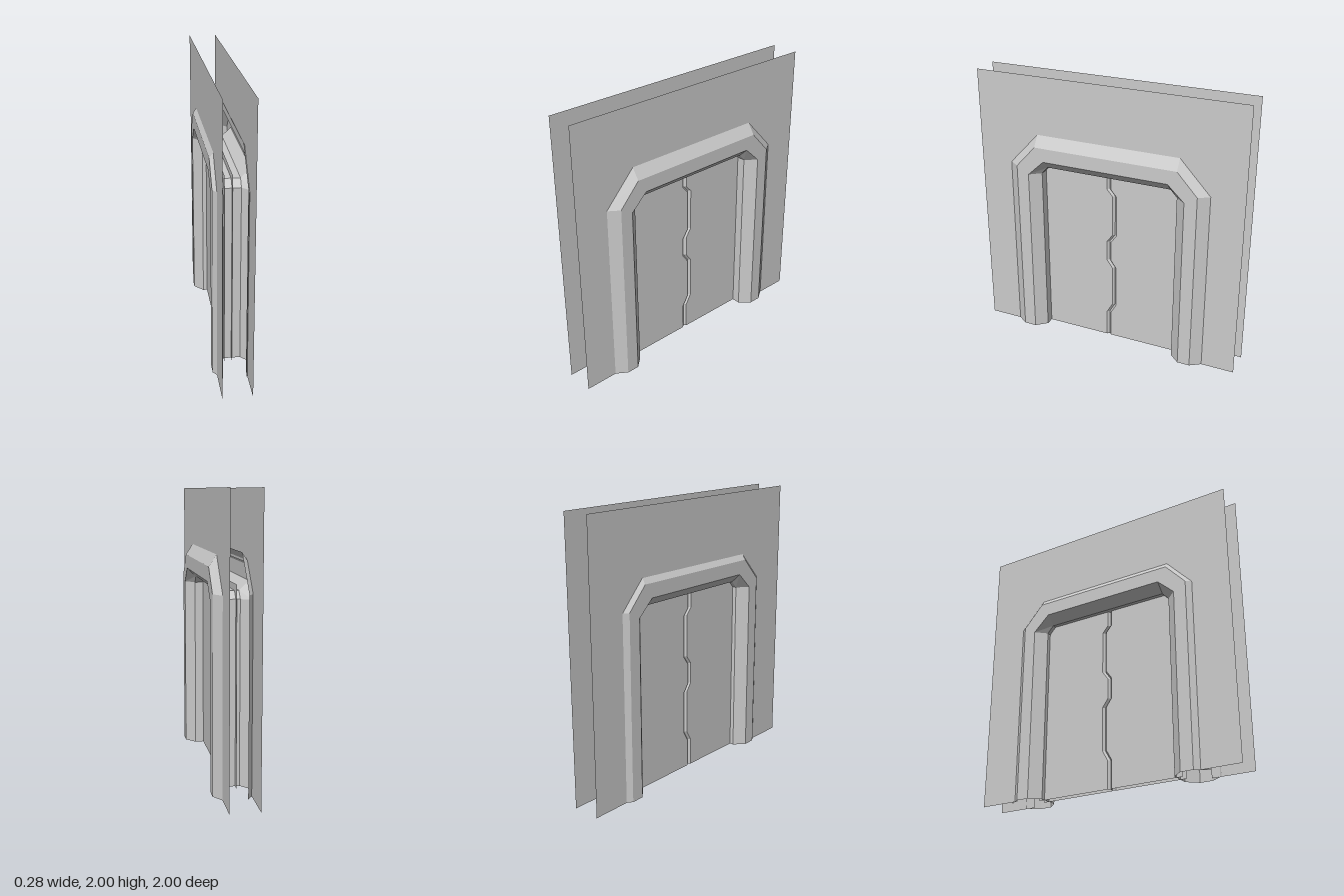
import * as THREE from 'three';

const material = new THREE.MeshStandardMaterial({
  color: 0xcccccc, flatShading: true, side: THREE.DoubleSide,
});

function addMesh(parent, name, geometry) {
  const mesh = new THREE.Mesh(geometry, material);
  mesh.name = name;
  parent.add(mesh);
  return mesh;
}

// Skin a surface through rows of points, all rows of equal length.
function loft(rows) {
  const positions = [];
  for (let i = 0; i < rows.length - 1; i++) {
    for (let j = 0; j < rows[i].length - 1; j++) {
      const a = rows[i][j], b = rows[i + 1][j];
      const c = rows[i + 1][j + 1], d = rows[i][j + 1];
      positions.push(...a, ...b, ...c, ...a, ...c, ...d);
    }
  }
  const geometry = new THREE.BufferGeometry();
  geometry.setAttribute('position', new THREE.Float32BufferAttribute(positions, 3));
  geometry.computeVertexNormals();
  return geometry;
}

// Doorway outline with cut corners, from one foot over the top to the other.
function archOutline([side, shoulder, topSide, top]) {
  return [
    [side, 0], [side, shoulder], [topSide, top],
    [-topSide, top], [-side, shoulder], [-side, 0],
  ];
}
const archAt = (x, arch) => archOutline(arch).map(([z, y]) => [x, y, z]);

const EDGE_X = 0.08, CASING_X = 0.14, TUNNEL_X = 0.073;
const OUTER = [0.77, 1.337, 0.535, 1.588];
const RIM = [0.683, 1.337, 0.535, 1.498];
const LIP = [0.592, 1.283, 0.47, 1.397];
const TUNNEL = [0.517, 1.281, 0.47, 1.333];
const HOLE = [0.7, 1.337, 0.535, 1.52];

// Thin wall sheet with the doorway cut out of it; the casing covers the cut.
function wallGeometry() {
  const outline = [[-1, 0], [-1, 2], [1, 2], [1, 0], ...archOutline(HOLE)];
  return new THREE.ShapeGeometry(new THREE.Shape(outline.map(([z, y]) => new THREE.Vector2(z, y))));
}

// Door leaf: a bevelled edge follows the zigzag seam; side is +1 or -1 along z.
function doorLeaf(side) {
  const near = 0.016, far = -0.027;
  const seam = [
    [0, near], [0.2, near], [0.275, far], [0.59, far], [0.65, near],
    [0.8, near], [0.86, far], [1.17, far], [1.22, near], [1.38, near],
  ];
  const front = 0.011, back = -0.043, bevel = 0.016, hinge = 0.56;
  // columns run from the front outer edge, round the seam, to the back outer edge
  const columns = [
    seam.map(([y]) => [front, y, side * hinge]),
    seam.map(([y, z]) => [front, y, z + side * bevel]),
    seam.map(([y, z]) => [front - bevel, y, z]),
    seam.map(([y, z]) => [back + bevel, y, z]),
    seam.map(([y, z]) => [back, y, z + side * bevel]),
    seam.map(([y]) => [back, y, side * hinge]),
  ];
  return loft(side > 0 ? columns : columns.reverse());
}

export function createModel() {
  const model = new THREE.Group();
  model.name = 'doorway';

  // Wall sheets and raised casings on both faces
  for (const [s, label, wallX] of [[1, 'left', 0.088], [-1, 'right', -0.114]]) {
    const wall = addMesh(model, `${label}Wall`, wallGeometry());
    wall.position.x = wallX;
    wall.rotation.y = s * Math.PI / 2;

    const rows = [
      archAt(s * EDGE_X, OUTER), archAt(s * CASING_X, RIM),
      archAt(s * CASING_X, LIP), archAt(s * TUNNEL_X, TUNNEL),
    ];
    addMesh(model, `${label}Casing`, loft(s > 0 ? rows : rows.reverse()));
  }

  // Passage lining between the casings
  addMesh(model, 'passageLining', loft([archAt(TUNNEL_X, TUNNEL), archAt(-TUNNEL_X, TUNNEL)]));

  // Interlocking door leaves, running on behind the lining
  addMesh(model, 'frontDoorLeaf', doorLeaf(1));
  addMesh(model, 'backDoorLeaf', doorLeaf(-1));

  return model;
}
